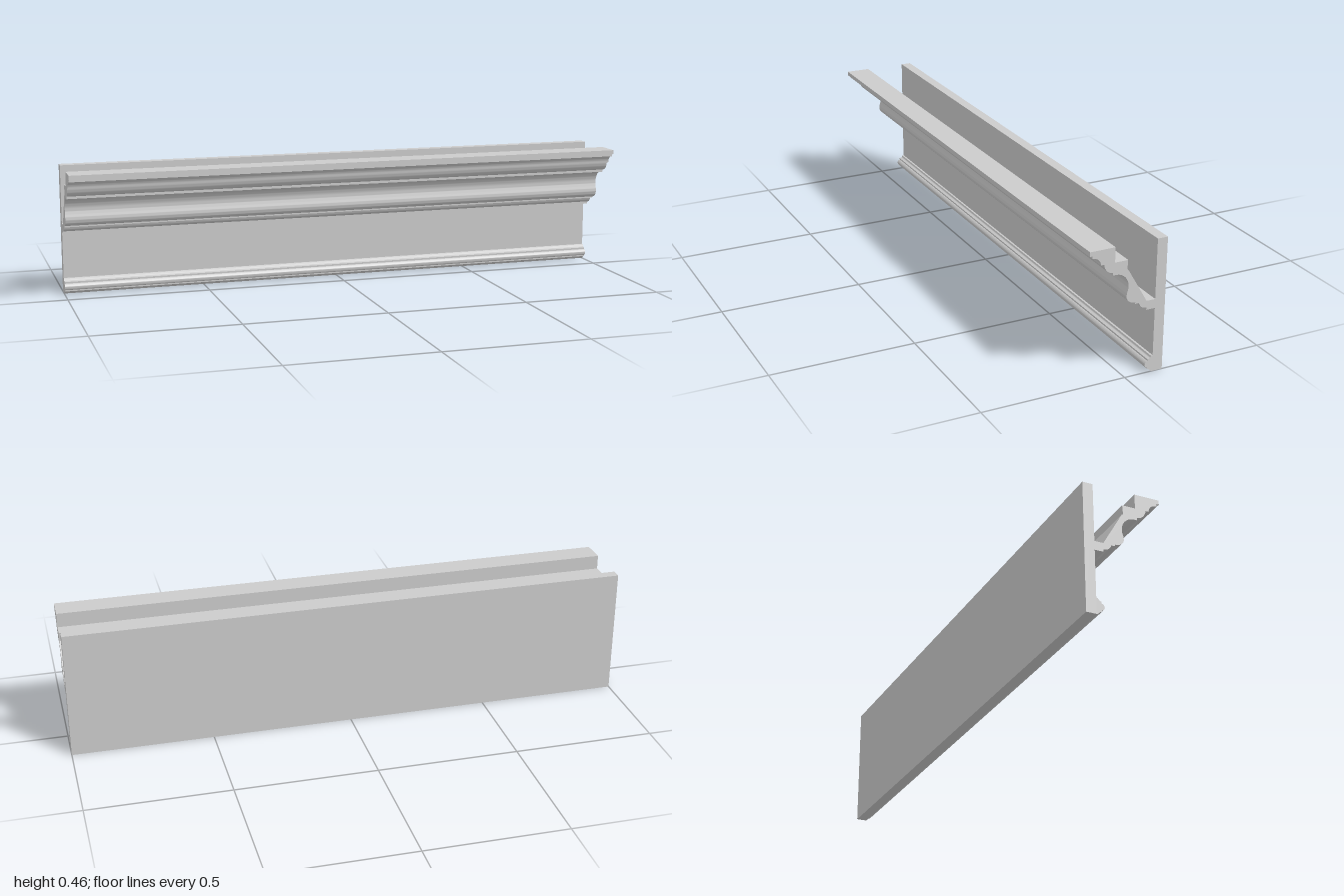
import * as THREE from 'three';
import { toCreasedNormals } from 'three/addons/utils/BufferGeometryUtils.js';

const LENGTH = 2;

// Sweeps a (z, y) profile along the whole length in x
function run(name, shape, material) {
  let geo = new THREE.ExtrudeGeometry(shape, { depth: LENGTH, bevelEnabled: false, curveSegments: 14 });
  geo.rotateY(-Math.PI / 2);
  geo.translate(LENGTH / 2, 0, 0);
  geo = toCreasedNormals(geo, 0.45);
  const mesh = new THREE.Mesh(geo, material);
  mesh.name = name;
  return mesh;
}

// Each entry is a corner [z, y] or a cubic curve [c1z, c1y, c2z, c2y, z, y]
function profile(steps) {
  const shape = new THREE.Shape();
  steps.forEach((s, i) => {
    if (i === 0) shape.moveTo(...s);
    else if (s.length === 2) shape.lineTo(...s);
    else shape.bezierCurveTo(...s);
  });
  shape.closePath();
  return shape;
}

export function createModel() {
  const group = new THREE.Group();
  group.name = 'corniceSection';
  const material = new THREE.MeshStandardMaterial({ color: 0xcccccc });

  // Flat wall panel at the back
  const wall = profile([[-0.136, 0], [-0.1, 0], [-0.1, 0.456], [-0.136, 0.456]]);

  // Crown moulding: stepped back, then the curved face from top to bottom
  const crown = profile([
    [-0.1, 0.252], [-0.069, 0.252], [0, 0.37], [0.005, 0.373], [0.003, 0.405],
    [0.049, 0.405], [0.049, 0.456], [0.137, 0.456], [0.137, 0.441], [0.128, 0.441], [0.128, 0.432],
    [0.112, 0.432, 0.099, 0.422, 0.098, 0.405],       // small cove
    [0.087, 0.405],
    [0.085, 0.388, 0.073, 0.373, 0.055, 0.372],       // upper ovolo
    [0.055, 0.363], [0.043, 0.363],
    [0.018, 0.362, -0.002, 0.342, -0.002, 0.314],     // large cove
    [-0.002, 0.303, 0.004, 0.295, 0.004, 0.282],      // reverse curve
    [0.004, 0.267, -0.009, 0.256, -0.028, 0.256],
    [-0.028, 0.25], [-0.042, 0.25],
    [-0.044, 0.238, -0.054, 0.23, -0.069, 0.229],     // lower ovolo
    [-0.069, 0.221], [-0.1, 0.221],
  ]);

  // Bottom bead with small flared edges
  const bead = profile([
    [-0.1, 0], [-0.1, 0.056], [-0.094, 0.055],
    [-0.093, 0.049, -0.088, 0.046, -0.082, 0.045],
    [-0.082, 0.039],
    [-0.076, 0.038, -0.072, 0.033, -0.072, 0.027],
    [-0.072, 0.021, -0.076, 0.016, -0.082, 0.016],
    [-0.082, 0.011],
    [-0.088, 0.01, -0.092, 0.005, -0.096, 0.001],
  ]);

  group.add(
    run('wallPanel', wall, material),
    run('crownMoulding', crown, material),
    run('bottomBead', bead, material),
  );
  return group;
}
